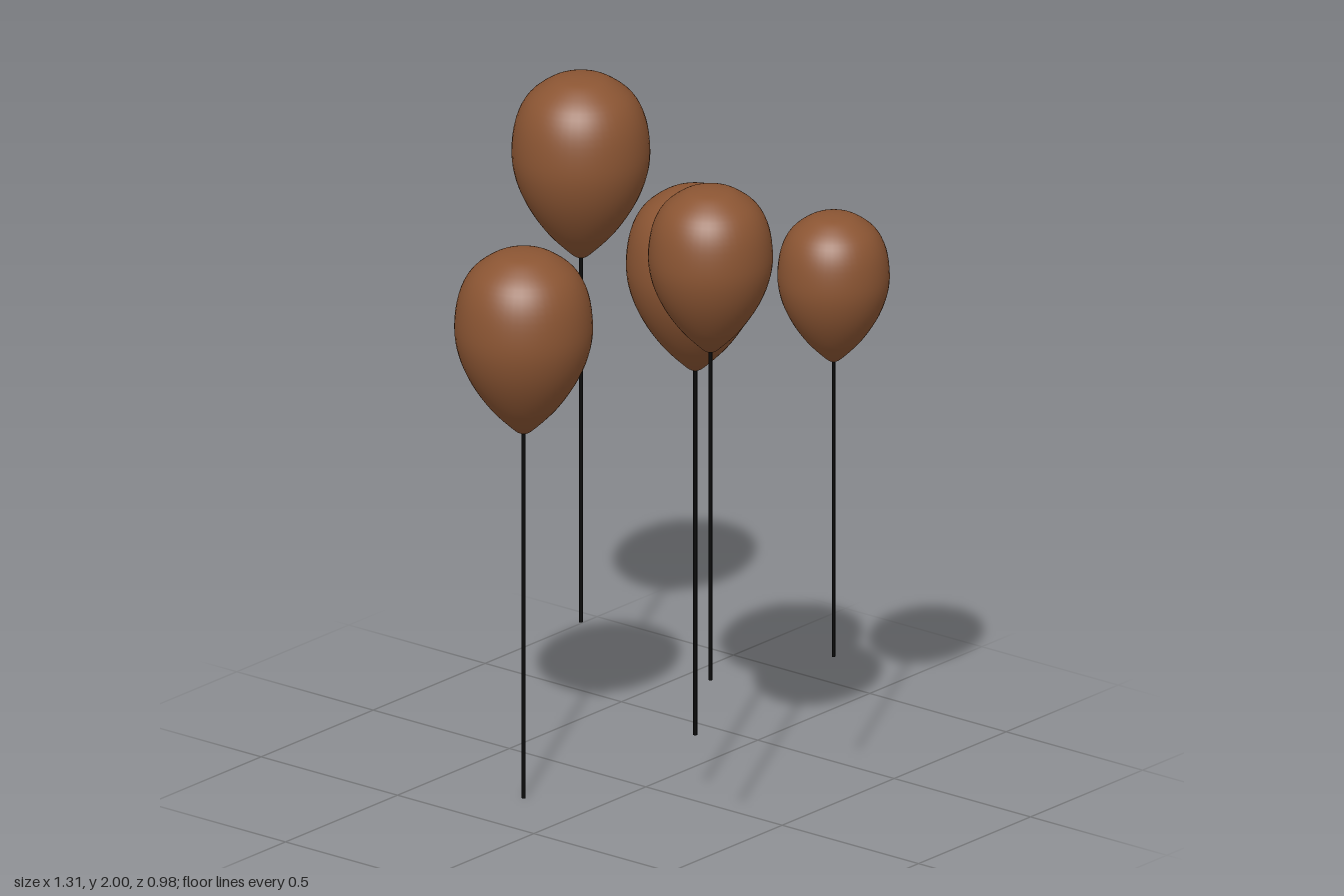
import * as THREE from 'three';

export function createModel() {
  const model = new THREE.Group();
  const skin = new THREE.MeshStandardMaterial({ color: 0x8b5533 });
  const black = new THREE.MeshStandardMaterial({ color: 0x080808 });

  const stringLength = 1.1;
  const stringRadius = 0.006;

  // Teardrop profile: pointed at the string, broad and rounded on top
  const curve = new THREE.SplineCurve([
    [0.008, 0], [0.03, 0.014], [0.096, 0.08], [0.151, 0.16], [0.185, 0.24], [0.197, 0.32],
    [0.185, 0.415], [0.15, 0.485], [0.088, 0.533], [0.04, 0.547], [0, 0.55],
  ].map(([r, y]) => new THREE.Vector2(r, y)));
  const profile = [new THREE.Vector2(0, 0), ...curve.getPoints(40)];
  profile[profile.length - 1].x = 0;
  const balloonGeometry = new THREE.LatheGeometry(profile, 48);
  balloonGeometry.translate(0, stringLength, 0);

  // String hangs from the tip and reaches slightly into the balloon
  const stringGeometry = new THREE.CylinderGeometry(stringRadius, stringRadius, stringLength + 0.01, 8);
  stringGeometry.translate(0, (stringLength + 0.01) / 2, 0);

  // x, height of the string's end, z, scale
  const placements = [
    [-0.46, 0.315, -0.27, 1],
    [-0.21, 0, 0.29, 1],
    [0.165, 0.19, -0.02, 1],
    [0.415, 0.395, -0.333, 0.81],
    [0.477, 0.515, 0.292, 0.9],
  ];

  placements.forEach(([x, y, z, scale], i) => {
    const group = new THREE.Group();
    group.name = `balloonOnString${i + 1}`;
    const balloon = new THREE.Mesh(balloonGeometry, skin);
    balloon.name = 'balloon';
    const string = new THREE.Mesh(stringGeometry, black);
    string.name = 'string';
    group.add(balloon, string);
    group.position.set(x, y, z);
    group.scale.setScalar(scale);
    model.add(group);
  });

  return model;
}
